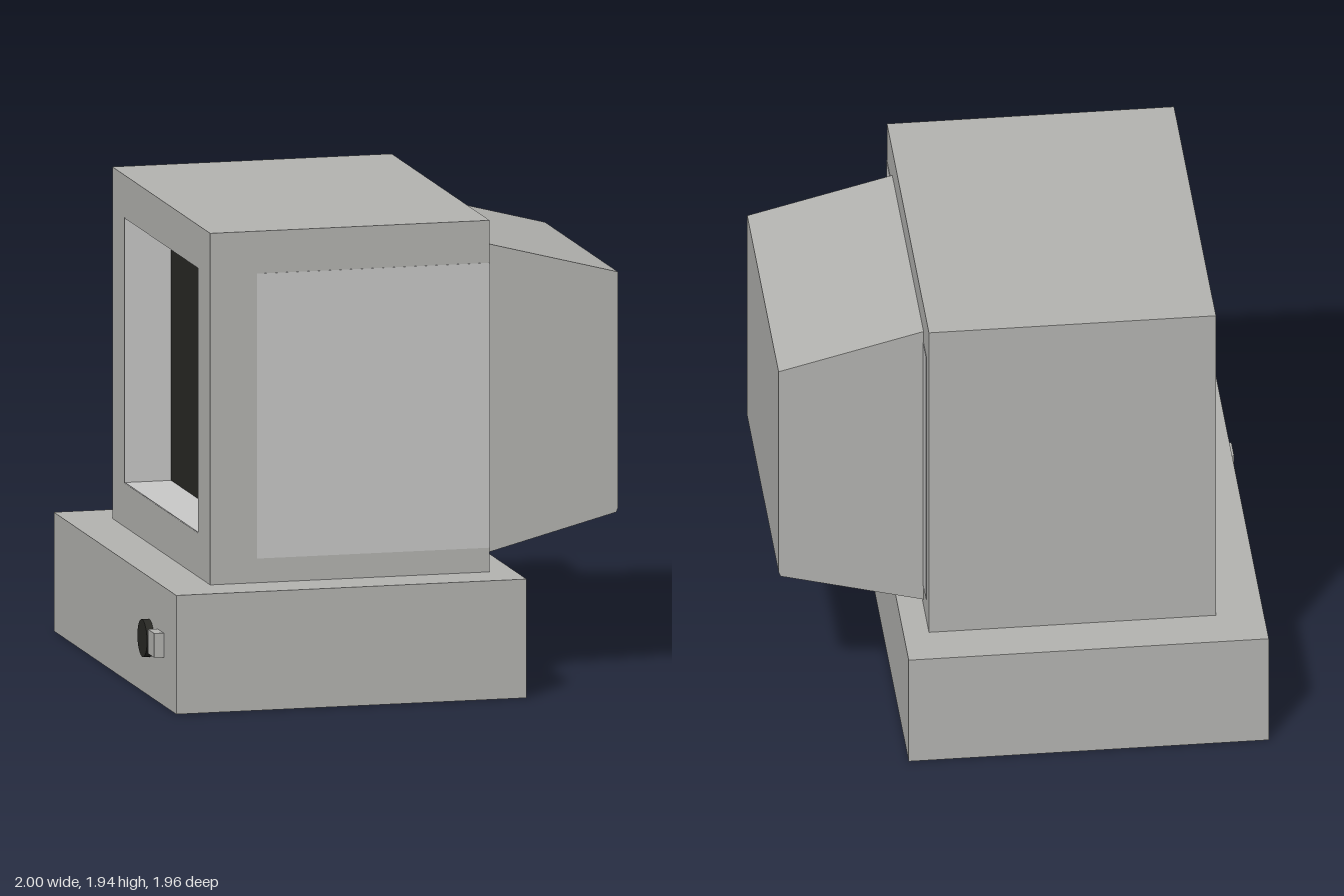
import * as THREE from 'three';

const mat = (name, color) => {
  const m = new THREE.MeshStandardMaterial({ color });
  m.name = name;
  return m;
};

export function createModel() {
  const model = new THREE.Group();
  model.name = 'desktopComputer';
  const grey = mat('casing grey', 0xb5b5b2);
  const light = mat('light grey', 0xcacac9);
  const black = mat('screen black', 0x282824);

  const add = (name, geometry, material) => {
    const mesh = new THREE.Mesh(geometry, material);
    mesh.name = name;
    model.add(mesh);
    return mesh;
  };

  // Box given by its low and high limits on each axis
  const box = (name, [x0, x1], [y0, y1], [z0, z1], material) =>
    add(name, new THREE.BoxGeometry(x1 - x0, y1 - y0, z1 - z0), material)
      .position.set((x0 + x1) / 2, (y0 + y1) / 2, (z0 + z1) / 2);

  const rect = (path, z0, z1, y0, y1) =>
    path.moveTo(z0, y0).lineTo(z1, y0).lineTo(z1, y1).lineTo(z0, y1).closePath();

  // Rectangular ring in the z-y plane, extruded from xBack towards -x
  const ring = (name, outer, inner, xBack, depth, material) => {
    const shape = rect(new THREE.Shape(), ...outer);
    shape.holes.push(rect(new THREE.Path(), ...inner));
    const g = new THREE.ExtrudeGeometry(shape, { depth, bevelEnabled: false });
    g.rotateY(-Math.PI / 2).translate(xBack, 0, 0);
    add(name, g, material);
  };

  // Base unit
  box('baseUnit', [-0.96, 0.51], [0, 0.49], [-0.98, 0.98], grey);

  // Monitor casing: solid body, screen frame and recess lining
  box('monitorBody', [-0.57, 0.406], [0.49, 1.94], [-0.783, 0.783], grey);
  const opening = [-0.585, 0.585, 0.67, 1.765];
  ring('screenFrame', [-0.783, 0.783, 0.49, 1.94], opening, -0.57, 0.196, grey);
  ring('recessLining', opening, [-0.582, 0.582, 0.673, 1.762], -0.57, 0.195, light);
  box('screen', [-0.572, -0.566], [0.673, 1.762], [-0.582, 0.582], black);

  // Pale panels wrapping the side and rear of the casing
  box('sidePanel', [-0.57, 0.406], [0.59, 1.765], [0.781, 0.785], light);
  box('rearPanel', [0.404, 0.408], [0.59, 1.765], [-0.69, 0.783], light);

  // Tapered tube housing behind the casing
  const profile = new THREE.Shape([
    [0.4, 0.52], [0.99, 0.675], [0.998, 0.695], [0.998, 1.665], [0.98, 1.67], [0.4, 1.82],
  ].map(([x, y]) => new THREE.Vector2(x, y)));
  const housing = new THREE.ExtrudeGeometry(profile, { depth: 1.17, bevelEnabled: false });
  housing.translate(0, 0, -0.585);
  add('tubeHousing', housing, grey);

  // Controls on the base
  const knob = new THREE.CylinderGeometry(0.077, 0.077, 0.04, 32).rotateZ(Math.PI / 2);
  add('knob', knob, black).position.set(-0.97, 0.24, 0.55);
  box('button', [-1, -0.95], [0.2, 0.3], [0.68, 0.78], grey);

  return model;
}
